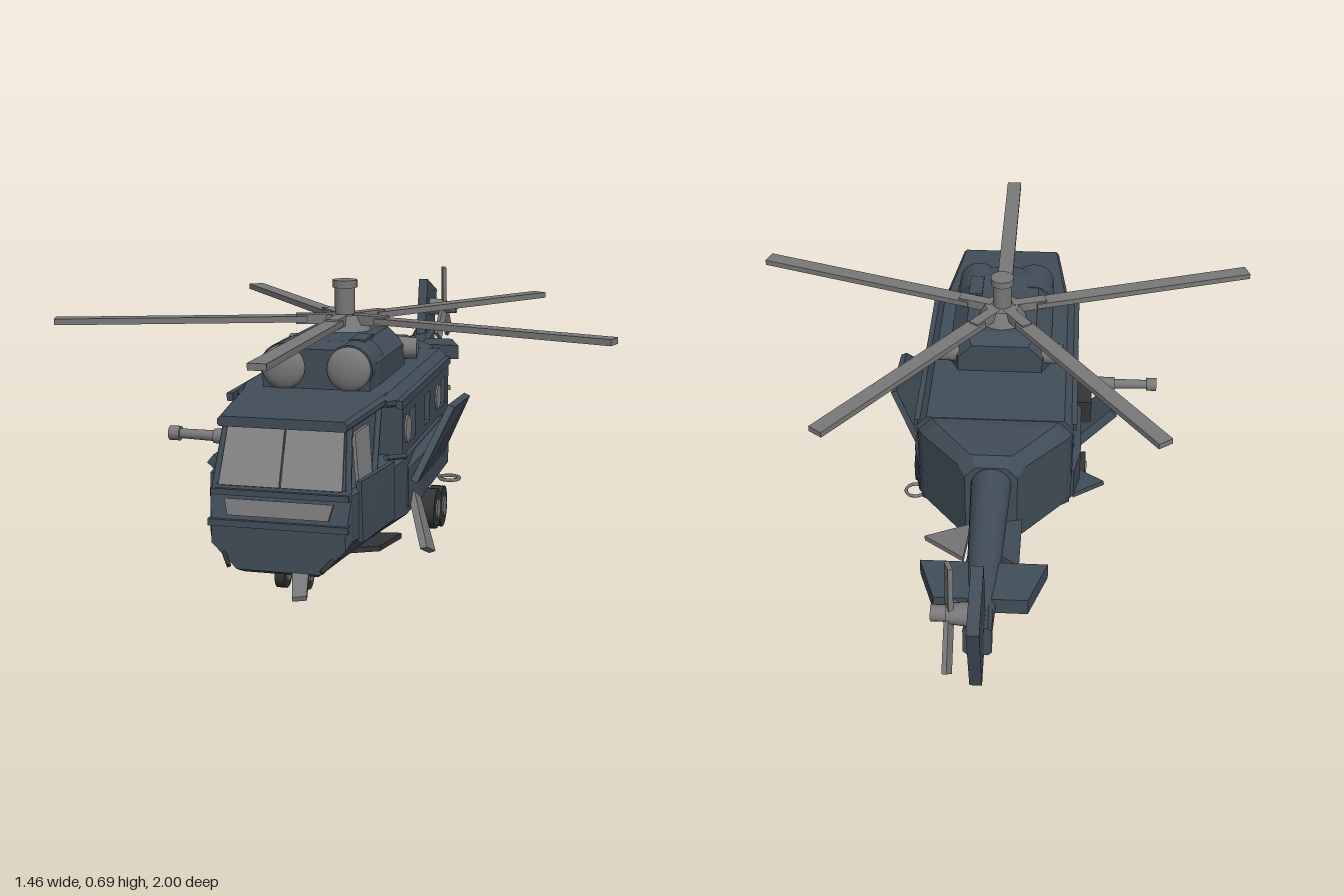
import * as THREE from 'three';

export function createModel() {
  const root = new THREE.Group();
  root.name = 'helicopter';
  const mat = (name, color) => Object.assign(new THREE.MeshStandardMaterial({ color }), { name });
  const body = mat('slateBody', 0x414d58);
  const grey = mat('midGrey', 0x787878);
  const dark = mat('darkGrey', 0x333435);
  const glass = mat('windowGrey', 0x838383);
  const V = (a) => new THREE.Vector3(...a);

  const add = (name, geo, m) => {
    const mesh = new THREE.Mesh(geo, m);
    mesh.name = name;
    root.add(mesh);
    return mesh;
  };
  const faces = (pos) => {
    const g = new THREE.BufferGeometry();
    g.setAttribute('position', new THREE.Float32BufferAttribute(pos, 3));
    g.computeVertexNormals();
    return g;
  };
  const box = (name, w, h, d, x, y, z, m) => {
    const b = add(name, new THREE.BoxGeometry(w, h, d), m);
    b.position.set(x, y, z);
    return b;
  };
  // tapered round rod between two points
  const rod = (name, a, b, r1, r2, m, sides = 16) => {
    const A = V(a), B = V(b), d = B.clone().sub(A);
    const mesh = add(name, new THREE.CylinderGeometry(r2, r1, d.length(), sides), m);
    mesh.position.copy(A).add(B).multiplyScalar(0.5);
    mesh.quaternion.setFromUnitVectors(new THREE.Vector3(0, 1, 0), d.normalize());
    return mesh;
  };
  // chamfered cross-sections, front to back: [z, halfWidth, y0, y1, topChamfer, bottomChamferX, bottomChamferY]
  const loft = (name, secs, m) => {
    const rings = secs.map(([z, w, y0, y1, ct, cbx, cby]) => {
      const r = [[w - cbx, y0], [w, y0 + cby], [w, y1 - ct], [w - ct, y1]];
      const l = r.map(([x, y]) => [-x, y]).reverse();
      return [...r, ...l].map(([x, y]) => [x, y, z]);
    });
    const p = [];
    for (let i = 0; i < rings.length - 1; i++) {
      for (let j = 0; j < 8; j++) {
        const k = (j + 1) % 8;
        const A = rings[i][j], B = rings[i][k], C = rings[i + 1][k], D = rings[i + 1][j];
        p.push(...A, ...D, ...C, ...A, ...C, ...B);
      }
    }
    const f = rings[0], e = rings[rings.length - 1];
    for (let j = 1; j < 7; j++) p.push(...f[0], ...f[j], ...f[j + 1], ...e[0], ...e[j + 1], ...e[j]);
    return add(name, faces(p), m);
  };
  // flat panel of given thickness through a few corner points
  const plate = (name, pts, t, m) => {
    const P = pts.map(V);
    const n = P[1].clone().sub(P[0]).cross(P[2].clone().sub(P[0])).normalize().multiplyScalar(t / 2);
    const a = P.map((v) => v.clone().add(n).toArray()), b = P.map((v) => v.clone().sub(n).toArray());
    const p = [];
    for (let i = 1; i < P.length - 1; i++) p.push(...a[0], ...a[i], ...a[i + 1], ...b[0], ...b[i + 1], ...b[i]);
    for (let i = 0; i < P.length; i++) {
      const k = (i + 1) % P.length;
      p.push(...b[i], ...b[k], ...a[k], ...b[i], ...a[k], ...a[i]);
    }
    return add(name, faces(p), m);
  };

  // fuselage
  loft('lowerHull', [
    [0.865, 0.16, 0.085, 0.19, 0.01, 0.06, 0.06],
    [0.84, 0.17, 0.072, 0.28, 0.01, 0.08, 0.09],
    [0.6, 0.205, 0.06, 0.28, 0.01, 0.1, 0.08],
    [0.48, 0.222, 0.06, 0.29, 0.01, 0.1, 0.07],
    [0.05, 0.222, 0.07, 0.29, 0.01, 0.1, 0.06],
    [-0.12, 0.21, 0.12, 0.29, 0.01, 0.08, 0.05]], body);
  loft('sideSponsons', [
    [0.48, 0.225, 0.11, 0.27, 0.02, 0.04, 0.04],
    [0.38, 0.24, 0.1, 0.28, 0.02, 0.04, 0.05],
    [0.0, 0.24, 0.1, 0.28, 0.02, 0.04, 0.05],
    [-0.08, 0.222, 0.12, 0.27, 0.02, 0.04, 0.04]], body);
  loft('cabinRoof', [
    [0.57, 0.19, 0.42, 0.445, 0.01, 0.005, 0.005],
    [0.5, 0.215, 0.41, 0.455, 0.025, 0.005, 0.005],
    [-0.12, 0.215, 0.41, 0.455, 0.025, 0.005, 0.005]], body);
  loft('cockpitRoof', [
    [0.825, 0.155, 0.413, 0.437, 0.008, 0.005, 0.005],
    [0.5, 0.195, 0.425, 0.452, 0.01, 0.005, 0.005]], body);
  loft('rearFuselage', [
    [-0.115, 0.215, 0.14, 0.452, 0.04, 0.05, 0.05],
    [-0.15, 0.2, 0.145, 0.458, 0.04, 0.05, 0.05],
    [-0.29, 0.09, 0.17, 0.464, 0.035, 0.03, 0.03],
    [-0.315, 0.07, 0.175, 0.44, 0.03, 0.03, 0.03]], body);
  box('cockpitBulkhead', 0.4, 0.15, 0.015, 0, 0.35, 0.5, body);

  // cabin walls with window openings
  for (const s of [1, -1]) {
    const wall = new THREE.Shape([[-0.12, 0.27], [0.51, 0.27], [0.51, 0.43], [-0.12, 0.43]].map(([a, b]) => new THREE.Vector2(a, b)));
    const wins = [s > 0 ? [0.35, 0.42] : [0.25, 0.42], [0.16, 0.23], [-0.07, 0.005]];
    for (const [a, b] of wins) wall.holes.push(new THREE.Path([[a, 0.305], [a, 0.385], [b, 0.385], [b, 0.305]].map(([x, y]) => new THREE.Vector2(x, y))));
    const g = new THREE.ExtrudeGeometry(wall, { depth: 0.02, bevelEnabled: false });
    g.rotateY(-Math.PI / 2);
    add('cabinWall', g, body).position.x = s > 0 ? 0.216 : -0.196;
    box('roofRail', 0.016, 0.02, 0.66, s * 0.217, 0.425, 0.225, body);
    for (const z of [0.455, 0.045]) rod('roundWindow', [s * 0.212, 0.345, z], [s * 0.22, 0.345, z], 0.038, 0.034, glass, 20);

    // cockpit frame and glazing
    rod('windscreenPillar', [s * 0.16, 0.27, 0.835], [s * 0.148, 0.42, 0.775], 0.008, 0.008, body, 6);
    rod('doorPillar', [s * 0.18, 0.27, 0.665], [s * 0.172, 0.425, 0.58], 0.008, 0.008, body, 6);
    plate('windscreen', [[s * 0.002, 0.278, 0.842], [s * 0.148, 0.278, 0.842], [s * 0.14, 0.414, 0.786], [s * 0.002, 0.414, 0.786]], 0.008, glass);
    plate('sideWindow', [[s * 0.166, 0.28, 0.775], [s * 0.172, 0.28, 0.665], [s * 0.164, 0.4, 0.665], [s * 0.157, 0.4, 0.775]], 0.008, glass);
    plate('cockpitDoorPanel', [[s * 0.18, 0.15, 0.8], [s * 0.21, 0.15, 0.6], [s * 0.21, 0.295, 0.6], [s * 0.176, 0.295, 0.8]], 0.012, body);
    rod('footRail', [s * 0.14, 0.13, 0.85], [s * 0.11, 0.1, 0.89], 0.006, 0.006, dark, 6);
    rod('cockpitHandrail', [s * 0.2, 0.31, 0.63], [s * 0.222, 0.285, 0.5], 0.007, 0.007, body, 6);

    // engine cowls with domed intakes, and exhausts
    rod('engineCowl', [s * 0.084, 0.503, 0.4], [s * 0.084, 0.503, 0.53], 0.06, 0.06, body, 24);
    const dome = add('engineIntake', new THREE.SphereGeometry(0.056, 24, 10, 0, Math.PI * 2, 0, Math.PI / 2), grey);
    dome.rotation.x = Math.PI / 2;
    dome.scale.y = 0.42;
    dome.position.set(s * 0.084, 0.503, 0.53);
    rod('engineExhaust', [s * 0.12, 0.498, 0.15], [s * 0.178, 0.498, 0.145], 0.032, 0.028, grey, 20);
  }
  plate('instrumentPanel', [[-0.12, 0.213, 0.863], [0.12, 0.213, 0.863], [0.13, 0.25, 0.853], [-0.13, 0.25, 0.853]], 0.009, grey);
  box('chinLip', 0.335, 0.016, 0.03, 0, 0.195, 0.855, body);
  box('brow', 0.33, 0.014, 0.02, 0, 0.264, 0.842, body);

  // engine fairing
  loft('engineFairing', [
    [0.53, 0.138, 0.44, 0.55, 0.045, 0.01, 0.01],
    [0.46, 0.146, 0.44, 0.56, 0.045, 0.01, 0.01],
    [0.16, 0.145, 0.44, 0.557, 0.045, 0.01, 0.01],
    [0.11, 0.12, 0.44, 0.54, 0.04, 0.01, 0.01]], body);
  box('roofHatch', 0.04, 0.008, 0.1, 0.085, 0.561, 0.4, body);

  // main rotor
  const hz = 0.24;
  rod('rotorBase', [0, 0.54, hz], [0, 0.6, hz], 0.078, 0.05, grey, 20);
  rod('rotorMast', [0, 0.58, hz], [0, 0.672, hz], 0.027, 0.027, grey, 20);
  rod('mastCap', [0, 0.67, hz], [0, 0.69, hz], 0.033, 0.033, grey, 20);
  for (let i = 0; i < 5; i++) {
    const blade = new THREE.Group();
    blade.name = 'mainRotorBlade';
    const wing = new THREE.Mesh(new THREE.BoxGeometry(0.044, 0.016, 0.66), grey);
    wing.position.z = 0.43;
    const grip = new THREE.Mesh(new THREE.BoxGeometry(0.032, 0.026, 0.1), grey);
    grip.position.z = 0.08;
    blade.add(wing, grip);
    blade.position.set(0, 0.588, hz);
    blade.rotation.y = (i * Math.PI * 2) / 5;
    root.add(blade);
  }

  // tail boom, fin and stabilisers
  rod('tailBoom', [0, 0.385, -0.29], [0, 0.352, -0.82], 0.055, 0.034, body, 20);
  loft('finRoot', [
    [-0.74, 0.03, 0.325, 0.38, 0.01, 0.01, 0.01],
    [-0.86, 0.035, 0.31, 0.4, 0.01, 0.01, 0.01]], body);
  plate('tailFin', [[0, 0.33, -0.78], [0, 0.57, -0.83], [0, 0.515, -0.998], [0, 0.275, -0.925]], 0.03, body);
  for (const s of [1, -1]) {
    plate('stabiliser', [[s * 0.02, 0.36, -0.615], [s * 0.16, 0.36, -0.615], [s * 0.115, 0.36, -0.745], [s * 0.02, 0.36, -0.745]], 0.045, body);
  }
  rod('tailRotorShaft', [0.01, 0.47, -0.885], [0.07, 0.47, -0.885], 0.03, 0.024, grey);
  rod('tailRotorHub', [0.06, 0.47, -0.885], [0.105, 0.47, -0.885], 0.02, 0.02, grey);
  for (const a of [5, 128, -137]) {
    const t = (a * Math.PI) / 180;
    const b = box('tailRotorBlade', 0.012, 0.12, 0.032, 0.062, 0.47 + Math.cos(t) * 0.078, -0.885 + Math.sin(t) * 0.078, grey);
    b.rotation.set(t, 0.35, 0);
  }

  // loading ramp boom and its fins
  rod('rearRamp', [0, 0.165, 0], [0, 0.18, -0.52], 0.075, 0.036, body, 20);
  rod('rampEnd', [0, 0.18, -0.52], [0, 0.18, -0.532], 0.036, 0.026, body, 20);
  plate('rampStrut', [[0, 0.19, -0.38], [0, 0.32, -0.39], [0, 0.315, -0.53], [0, 0.19, -0.53]], 0.05, body);
  plate('leftRampFin', [[0.05, 0.285, -0.37], [0.17, 0.28, -0.42], [0.06, 0.3, -0.52]], 0.014, grey);
  plate('rightRampFin', [[-0.02, 0.285, -0.36], [-0.085, 0.28, -0.34], [-0.085, 0.305, -0.55], [-0.02, 0.305, -0.5]], 0.014, body);
  rod('rampActuator', [0.03, 0.33, -0.48], [0.06, 0.24, -0.58], 0.012, 0.01, grey, 8);

  // side panels and steps
  plate('leftSidePanel', [[0.235, 0.21, 0.46], [0.225, 0.18, 0.07], [0.31, 0.37, 0.11], [0.3, 0.375, 0.3]], 0.018, body);
  plate('leftStep', [[0.225, 0.18, 0.445], [0.235, 0.15, 0.405], [0.285, 0.03, 0.465], [0.275, 0.06, 0.53]], 0.018, grey);
  plate('rightStep', [[-0.2, 0.1, 0.2], [-0.2, 0.1, 0.37], [-0.34, 0.215, 0.37], [-0.34, 0.215, 0.25]], 0.03, body);
  plate('rightFlap', [[-0.22, 0.15, 0.06], [-0.31, 0.17, -0.03], [-0.22, 0.15, -0.07]], 0.014, body);
  plate('bellyFlap', [[0.05, 0.06, 0.62], [0.17, 0.06, 0.56], [0.2, 0.06, 0.44], [0.06, 0.06, 0.46]], 0.014, dark);
  plate('noseProbe', [[0.03, 0.085, 0.85], [0.07, 0.085, 0.85], [0.09, 0.055, 0.94], [0.06, 0.055, 0.955]], 0.012, grey);
  const ring = add('hoistRing', new THREE.TorusGeometry(0.028, 0.005, 6, 20), grey);
  ring.rotation.x = Math.PI / 2;
  ring.position.set(0.243, 0.1, -0.01);
  rod('hoistRingBracket', [0.19, 0.12, -0.01], [0.218, 0.1, -0.01], 0.008, 0.006, grey, 8);

  // door gun and its grey door posts
  box('gunMount', 0.05, 0.07, 0.12, -0.245, 0.245, 0.27, dark);
  for (const z of [0.25, 0.42]) rod('doorPost', [-0.212, 0.3, z], [-0.212, 0.39, z], 0.009, 0.009, grey, 8);
  rod('gunBody', [-0.2, 0.265, 0.33], [-0.34, 0.268, 0.33], 0.024, 0.02, grey);
  rod('gunBarrel', [-0.33, 0.268, 0.33], [-0.45, 0.27, 0.33], 0.015, 0.013, grey);
  rod('gunMuzzle', [-0.437, 0.27, 0.33], [-0.467, 0.27, 0.33], 0.02, 0.02, grey);

  // landing gear
  const wheel = (name, x, y, z, r, w) => {
    rod(name + 'Tyre', [x - w / 2, y, z], [x + w / 2, y, z], r, r, dark, 20);
    rod(name + 'Hub', [x - w / 2 - 0.004, y, z], [x + w / 2 + 0.004, y, z], r * 0.5, r * 0.5, grey, 12);
  };
  wheel('leftRearWheel', 0.24, 0.066, 0.165, 0.056, 0.036);
  wheel('leftFrontWheel', 0.24, 0.084, 0.255, 0.054, 0.036);
  wheel('rightWheel', -0.24, 0.058, 0.165, 0.056, 0.036);
  for (const s of [1, -1]) {
    rod('mainGearStrut', [s * 0.12, 0.12, 0.19], [s * 0.235, 0.068, 0.17], 0.015, 0.012, dark, 8);
    wheel('noseWheel', s * 0.028, 0.037, 0.73, 0.035, 0.024);
  }
  rod('noseGearStrut', [0, 0.1, 0.72], [0, 0.035, 0.73], 0.012, 0.012, dark, 8);
  return root;
}
